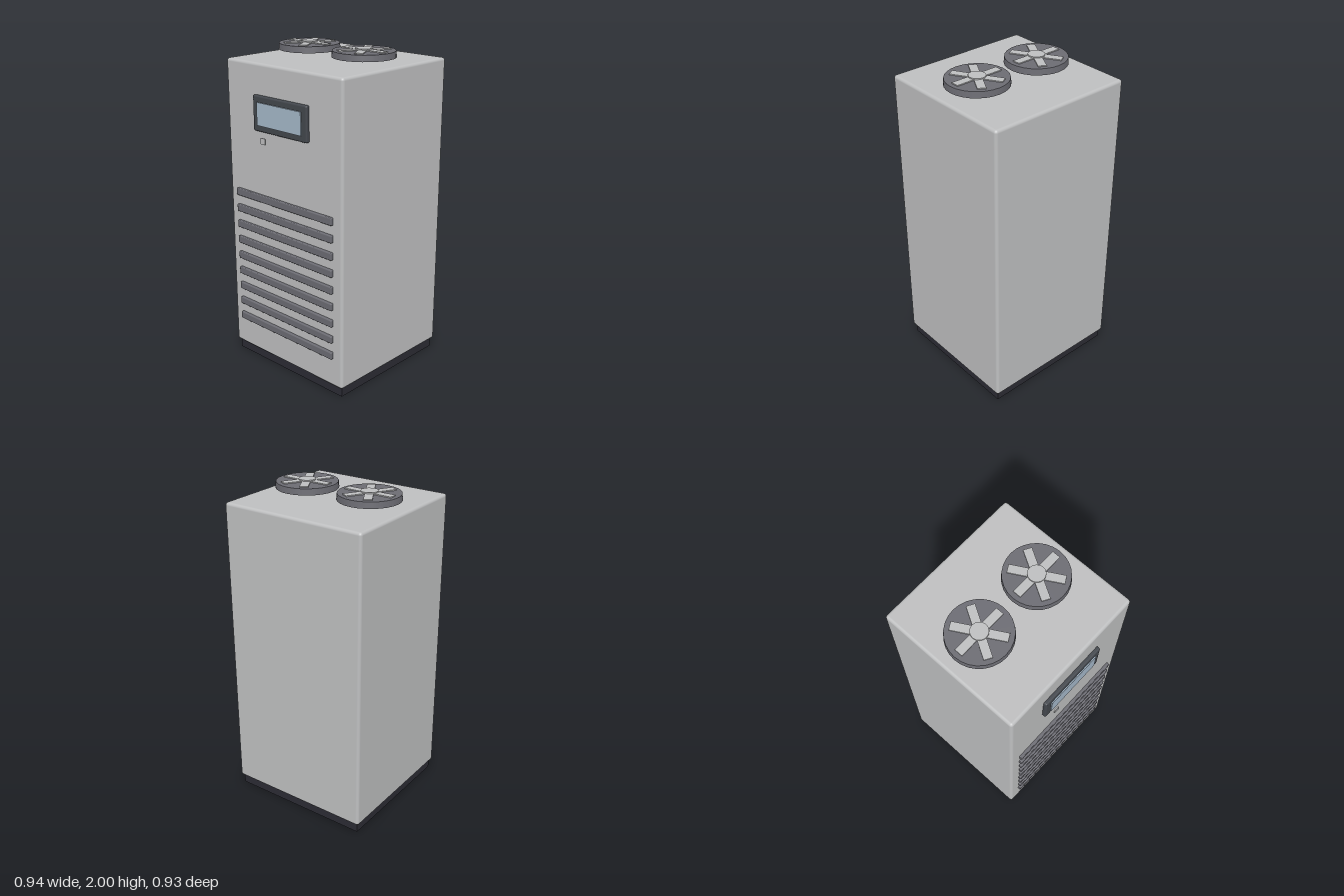
import * as THREE from 'three';
import { RoundedBoxGeometry } from 'three/addons/geometries/RoundedBoxGeometry.js';

const material = (name, color) => {
  const m = new THREE.MeshStandardMaterial({ color });
  m.name = name;
  return m;
};

export function createModel() {
  const model = new THREE.Group();
  model.name = 'ventilatedCabinet';

  const shell = material('light grey', 0xbebfc0);
  const grille = material('mid grey', 0x6c6c73);
  const plinth = material('near black', 0x2b2b33);
  const bezel = material('charcoal', 0x43474d);
  const glass = material('pale blue', 0xa5b8c9);

  const add = (parent, name, geometry, mat, x, y, z) => {
    const mesh = new THREE.Mesh(geometry, mat);
    mesh.name = name;
    mesh.position.set(x, y, z);
    parent.add(mesh);
    return mesh;
  };

  // Cabinet and plinth
  const midZ = -0.015;
  add(model, 'base', new THREE.BoxGeometry(0.905, 0.07, 0.86), plinth, 0, 0.035, midZ);
  add(model, 'cabinet', new RoundedBoxGeometry(0.94, 1.86, 0.898, 3, 0.018), shell, 0, 0.99, midZ);

  // Front louvres
  const slat = new RoundedBoxGeometry(0.8, 0.046, 0.03, 2, 0.006);
  for (let i = 0; i < 9; i++) {
    add(model, 'louvre', slat, grille, 0, 0.265 + i * 0.1053, 0.437);
  }

  // Display and button
  add(model, 'displayFrame', new RoundedBoxGeometry(0.44, 0.212, 0.03, 2, 0.01), bezel, 0, 1.631, 0.441);
  add(model, 'displayScreen', new THREE.BoxGeometry(0.36, 0.136, 0.008), glass, 0, 1.631, 0.459);
  add(model, 'button', new THREE.BoxGeometry(0.037, 0.037, 0.007), shell, -0.13, 1.475, 0.463);

  // Roof fans: raised disc, three crossed bars forming six blades, and a hub
  const disc = new THREE.CylinderGeometry(0.185, 0.188, 0.038, 28);
  const bar = new THREE.BoxGeometry(0.312, 0.012, 0.05);
  const hub = new THREE.CylinderGeometry(0.051, 0.051, 0.018, 16);
  for (const side of [-1, 1]) {
    const fan = new THREE.Group();
    fan.name = side < 0 ? 'rightFan' : 'leftFan';
    fan.position.set(side * 0.22, 0, midZ);
    add(fan, 'fanDisc', disc, grille, 0, 1.968, 0);
    for (let i = 0; i < 3; i++) {
      add(fan, 'fanBlades', bar, shell, 0, 1.987, 0).rotation.y = (i * Math.PI) / 3;
    }
    add(fan, 'fanHub', hub, shell, 0, 1.991, 0);
    model.add(fan);
  }

  return model;
}
